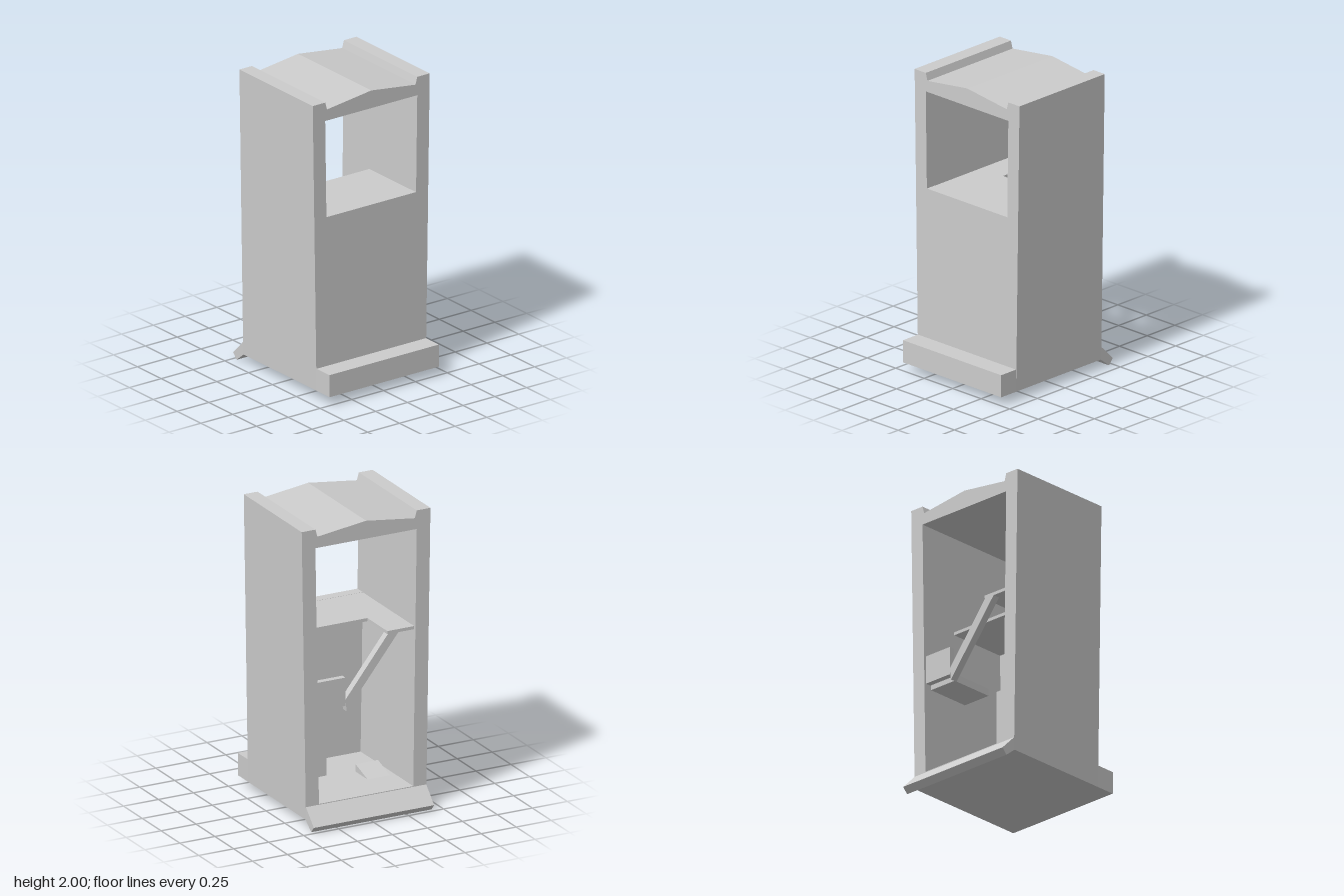
import * as THREE from 'three';

export function createModel() {
  const group = new THREE.Group();
  const mat = new THREE.MeshStandardMaterial({ color: 0xcccccc, flatShading: true });

  const add = (name, geo) => {
    const mesh = new THREE.Mesh(geo, mat);
    mesh.name = name;
    group.add(mesh);
    return mesh;
  };
  const box = (name, x0, x1, y0, y1, z0, z1) =>
    add(name, new THREE.BoxGeometry(x1 - x0, y1 - y0, z1 - z0))
      .position.set((x0 + x1) / 2, (y0 + y1) / 2, (z0 + z1) / 2);
  const toPoints = (list) => list.map(([a, b]) => new THREE.Vector2(a, b));
  // Front-facing outline extruded from z0 to z1
  const slab = (name, outline, z0, z1, hole) => {
    const shape = new THREE.Shape(toPoints(outline));
    if (hole) shape.holes.push(new THREE.Path(toPoints(hole)));
    const geo = new THREE.ExtrudeGeometry(shape, { depth: z1 - z0, bevelEnabled: false });
    add(name, geo.translate(0, 0, z0));
  };
  // Side outline given as [z, y], extruded from x0 to x1
  const sideSlab = (name, outline, x0, x1) => {
    const shape = new THREE.Shape(toPoints(outline.map(([z, y]) => [-z, y])));
    const geo = new THREE.ExtrudeGeometry(shape, { depth: x1 - x0, bevelEnabled: false });
    add(name, geo.rotateY(Math.PI / 2).translate(x0, 0, 0));
  };

  // Booth shell: tapered walls, floor and ridged roof in one ring
  slab('shell', [
    [-0.43, 0.06], [0.43, 0.06], [0.46, 2], [0.362, 2], [0.348, 1.95],
    [0, 1.995], [-0.348, 1.95], [-0.362, 2], [-0.46, 2],
  ], -0.4, 0.37, [[-0.337, 0.15], [-0.362, 1.875], [0.362, 1.875], [0.337, 0.15]]);

  // Front panel below the window
  slab('frontPanel', [[-0.338, 0.15], [0.338, 0.15], [0.353, 1.22], [-0.353, 1.22]], 0.3, 0.37);

  // Front step and sloping rear sill
  box('frontStep', -0.43, 0.43, 0.06, 0.21, 0.37, 0.505);
  sideSlab('rearSill', [[-0.395, 0.15], [-0.505, 0.04], [-0.47, 0], [-0.395, 0.06]], -0.43, 0.43);

  // L-shaped counter
  box('counter', -0.352, 0.352, 1.198, 1.219, -0.12, 0.3);
  box('counterReturn', -0.352, -0.16, 1.198, 1.219, -0.385, -0.12);

  // Seat against the left wall with a low back and a sloping brace
  box('seat', 0.14, 0.345, 0.74, 0.79, -0.34, -0.03);
  box('seatBack', 0.14, 0.347, 0.77, 0.96, -0.385, -0.345);
  slab('seatBrace', [[-0.24, 1.2], [0.13, 0.73], [0.14, 0.81], [-0.165, 1.2]], -0.385, -0.335);

  // Upright post
  box('post', 0.055, 0.125, 0.15, 0.78, 0.025, 0.075);

  // Sloping footrest on the inside of the front panel and a floor pedal
  sideSlab('footrest', [[0.3, 0.36], [0.3, 0.5], [0.24, 0.36]], -0.05, 0.22);
  sideSlab('pedal', [[-0.16, 0.15], [0, 0.15], [0, 0.2]], -0.3, -0.14);

  return group;
}
